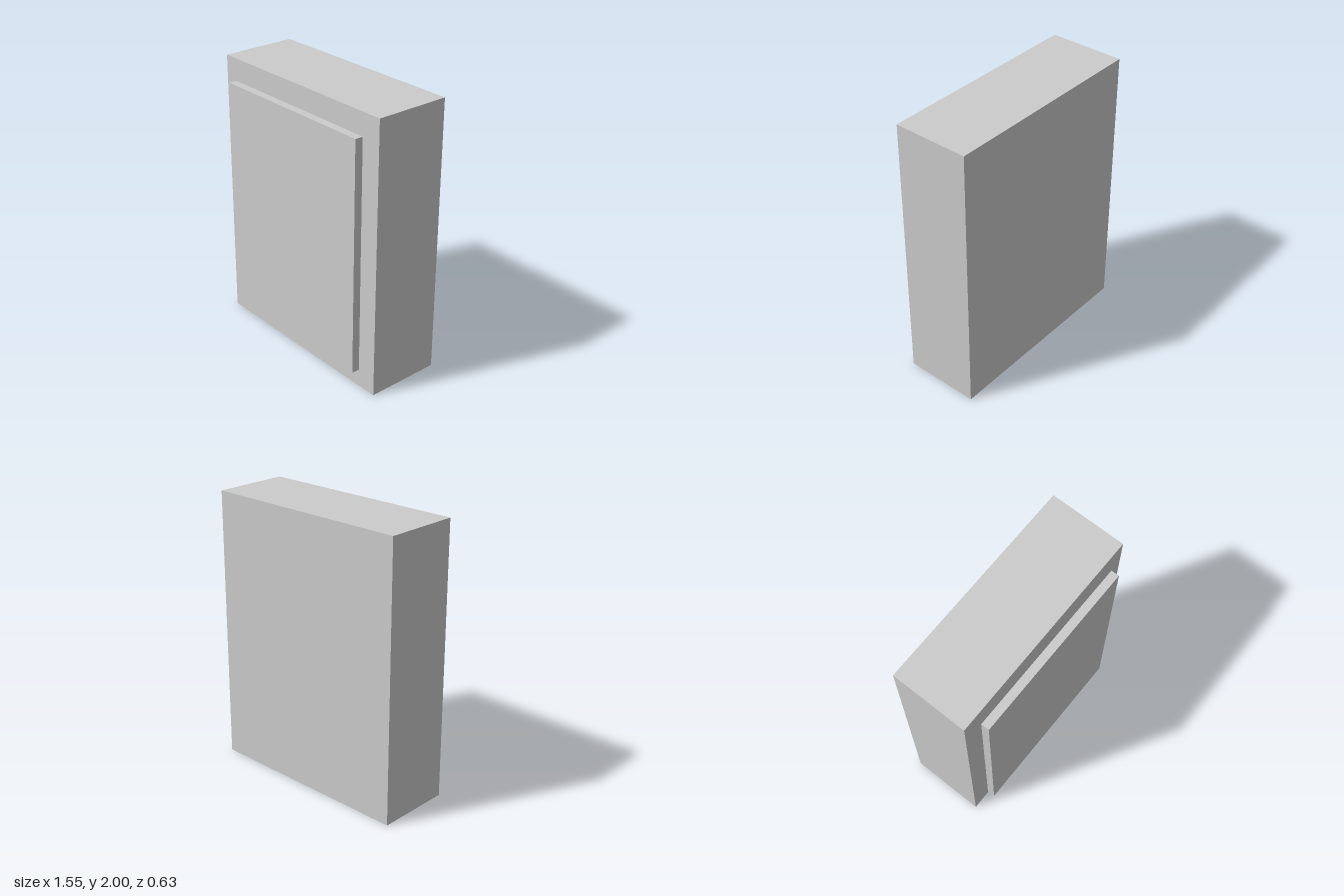
import * as THREE from 'three';

export function createModel() {
  const group = new THREE.Group();
  const material = new THREE.MeshStandardMaterial({ color: 0xcccccc });

  // Box centred on x = 0, y = 1, spanning zBack to zFront
  const addBox = (name, width, height, zBack, zFront) => {
    const mesh = new THREE.Mesh(new THREE.BoxGeometry(width, height, zFront - zBack), material);
    mesh.name = name;
    mesh.position.set(0, 1, (zBack + zFront) / 2);
    group.add(mesh);
  };

  // Main cabinet block
  addBox('cabinetBody', 1.55, 2, -0.314, 0.235);
  // Thin panel floating just ahead of the front face
  addBox('frontPanel', 1.298, 1.7, 0.255, 0.314);

  return group;
}
